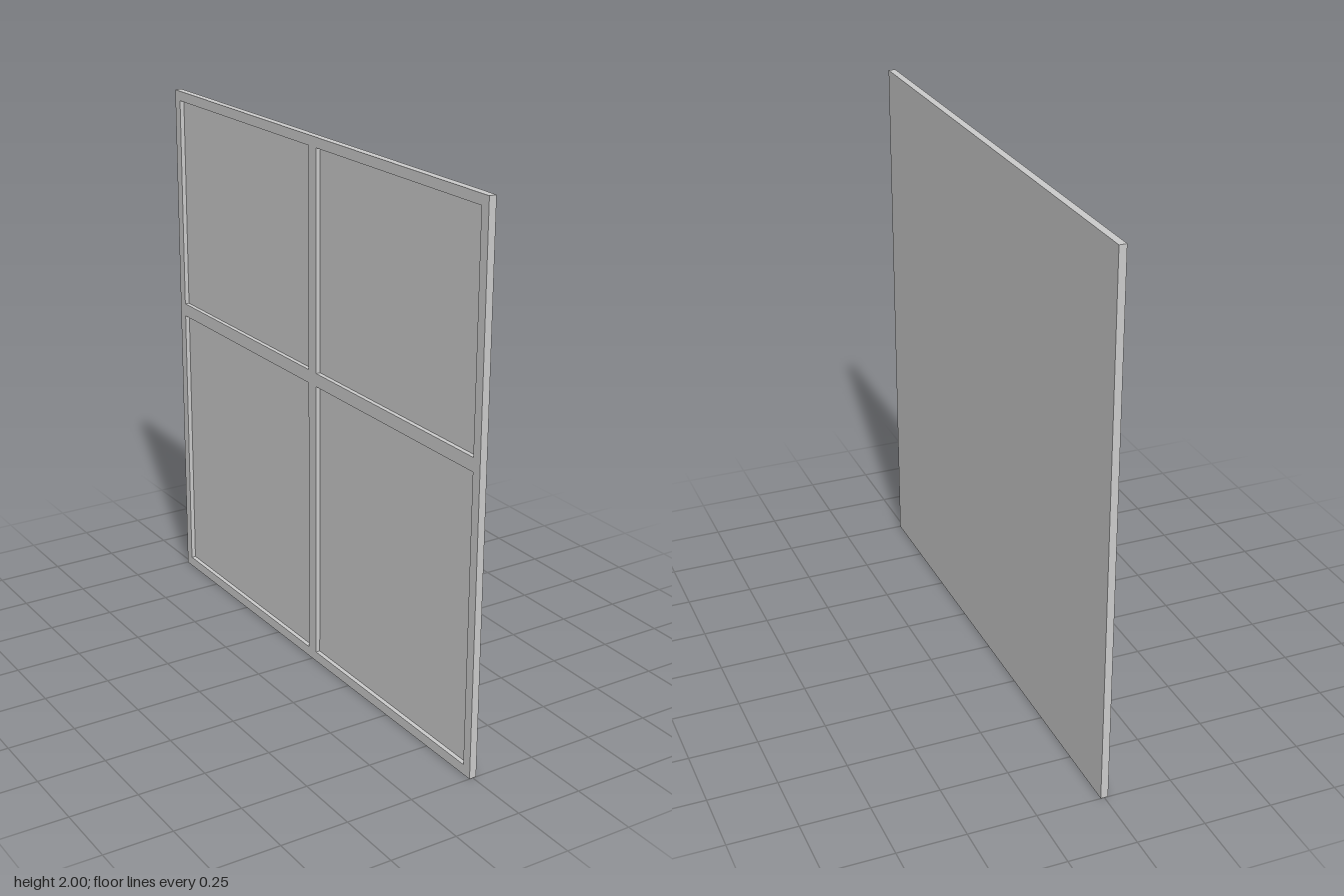
import * as THREE from 'three';

export function createModel() {
  const group = new THREE.Group();
  group.name = 'windowPanel';
  const material = new THREE.MeshStandardMaterial({ color: 0xcccccc });
  const half = 0.0135;   // half of the total thickness
  const paneX = 0.003;   // plane of the recessed panes
  const border = 0.037;

  // Flat backing sheet whose -x face shows as the panes
  const sheet = new THREE.Mesh(new THREE.BoxGeometry(half - paneX, 2, 2), material);
  sheet.name = 'backingSheet';
  sheet.position.set((half + paneX) / 2, 1, 0);
  group.add(sheet);

  // Frame with a vertical and a horizontal glazing bar: shape x becomes z
  const rect = (Type, x0, x1, y0, y1) => new Type([
    new THREE.Vector2(x0, y0), new THREE.Vector2(x1, y0),
    new THREE.Vector2(x1, y1), new THREE.Vector2(x0, y1),
  ]);
  const outline = rect(THREE.Shape, -1, 1, 0, 2);
  const columns = [[-1 + border, -0.025], [0.025, 1 - border]];
  const rows = [[border, 1.1], [1.15, 2 - border]];
  for (const [z0, z1] of columns) {
    for (const [y0, y1] of rows) outline.holes.push(rect(THREE.Path, z0, z1, y0, y1));
  }
  const frameGeometry = new THREE.ExtrudeGeometry(outline, {
    depth: half + paneX, bevelEnabled: false,
  });
  frameGeometry.rotateY(-Math.PI / 2);
  const frame = new THREE.Mesh(frameGeometry, material);
  frame.name = 'frameAndBars';
  frame.position.x = paneX;
  group.add(frame);

  return group;
}
